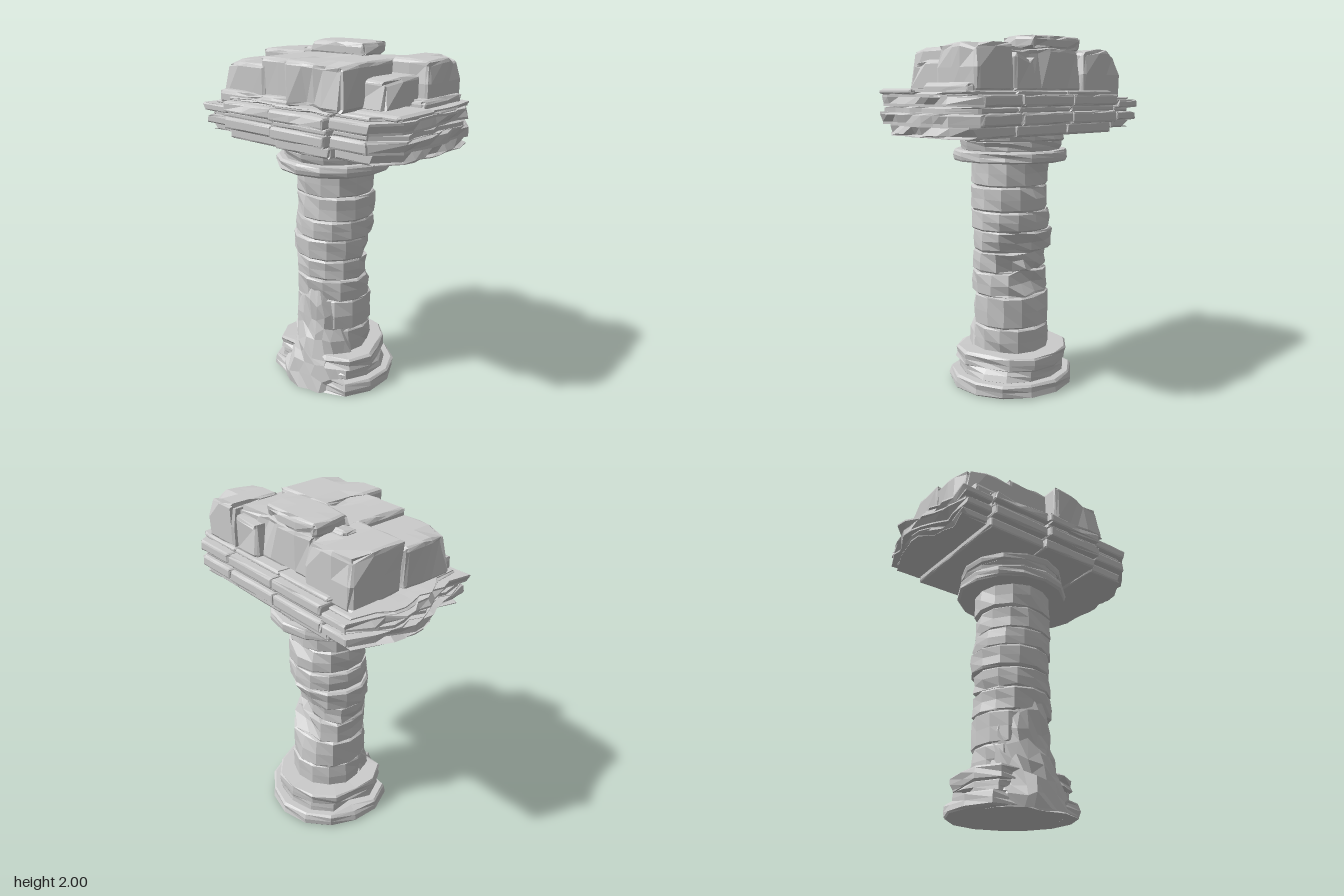
import * as THREE from 'three';

const stone = new THREE.MeshStandardMaterial({ color: 0xcccccc, flatShading: true, side: THREE.DoubleSide });

// Repeatable noise in 0..1 from a position, so shared corners move together
function hash(x, y, z, k = 0) {
  const r = (v) => Math.round(v * 500);
  const s = Math.sin(r(x) * 12.9898 + r(y) * 78.233 + r(z) * 37.719 + k * 53.17) * 43758.5453;
  return s - Math.floor(s);
}

// Move every vertex by a rule: fn(vector) changes the vector in place
function deform(geo, fn) {
  const p = geo.attributes.position, v = new THREE.Vector3();
  for (let i = 0; i < p.count; i++) {
    fn(v.fromBufferAttribute(p, i));
    p.setXYZ(i, v.x, v.y, v.z);
  }
  geo.computeVertexNormals();
  return geo;
}

// Piecewise linear lookup in [[key, value], ...]
function lookup(table, t) {
  for (let i = 1; i < table.length; i++) {
    const [a, va] = table[i - 1], [b, vb] = table[i];
    if (t <= b) return va + (vb - va) * THREE.MathUtils.clamp((t - a) / (b - a), 0, 1);
  }
  return table[table.length - 1][1];
}

function add(parent, name, geo) {
  const mesh = new THREE.Mesh(geo, stone);
  mesh.name = name;
  parent.add(mesh);
}

// Broken spots: x, y, z, reach, depth
const COLUMN_BREAKS = [
  [0.0, 0.7, -0.24, 0.22, 0.07], [0.16, 0.82, -0.16, 0.14, 0.04], [0.04, 0.5, 0.2, 0.2, 0.02],
  [0.06, 1.18, 0.2, 0.1, 0.02], [0.0, 1.22, -0.23, 0.12, 0.03], [0.28, 0.18, -0.16, 0.12, 0.05],
  [-0.3, 0.12, -0.1, 0.12, 0.05], [-0.2, 0.66, 0.05, 0.12, 0.015], [0.0, 0.16, 0.33, 0.27, 0.1],
  [0.02, 0.02, 0.33, 0.24, 0.06], [0.16, 0.66, -0.15, 0.16, 0.03],
];
const TOP_BREAKS = [
  [-0.56, 1.95, -0.36, 0.12, 0.05], [-0.56, 1.9, 0.28, 0.12, 0.04], [0.05, 1.95, 0.14, 0.1, 0.025],
  [0.34, 1.95, 0.4, 0.14, 0.04], [0.18, 1.72, 0.4, 0.1, 0.025], [0.6, 1.95, -0.38, 0.12, 0.04],
  [0.55, 1.87, 0.2, 0.13, 0.04], [0.6, 1.94, -0.1, 0.12, 0.02], [0.17, 1.9, -0.36, 0.14, 0.04],
  [-0.27, 2.0, -0.12, 0.1, 0.02], [0.18, 2.0, -0.1, 0.1, 0.02], [-0.56, 1.72, -0.05, 0.12, 0.02],
  [0.7, 1.7, -0.3, 0.12, 0.03], [-0.24, 1.94, -0.37, 0.1, 0.03], [-0.24, 1.75, 0.4, 0.12, 0.03],
];

// How far a point is pushed in, and how rough it is there
function damage(v, breaks) {
  let sink = 0, rough = 0;
  for (const [x, y, z, reach, depth] of breaks) {
    const f = Math.max(0, 1 - Math.hypot(v.x - x, v.y - y, v.z - z) / reach);
    sink += depth * Math.min(1, f * 1.6);
    rough += (0.005 + 0.4 * depth) * f;
  }
  return { sink, rough };
}

// Hewn block: flat faces, worn and chipped edges, broken corners
function block([x0, x1], [y0, y1], [z0, z1], bevel) {
  const size = [x1 - x0, y1 - y0, z1 - z0], mid = [(x0 + x1) / 2, (y0 + y1) / 2, (z0 + z1) / 2];
  const seg = size.map((s) => Math.max(3, Math.round(s / 0.07)));
  const geo = new THREE.BoxGeometry(...size, ...seg);
  const centre = new THREE.Vector3(...mid), inward = new THREE.Vector3();
  return deform(geo, (v) => {
    const a = v.toArray(), w = a.map((c, i) => c + mid[i]);
    const ends = a.map((c, i) => Math.abs(Math.abs(c) - size[i] / 2) < 1e-4);
    const isEdge = ends.filter(Boolean).length >= 2;
    const wear = bevel * (hash(...w, 1) < 0.14 ? 2.4 : 1);
    const out = a.map((c, i) => {
      const half = size[i] / 2, step = size[i] / seg[i];
      if (ends[i]) return isEdge ? c - Math.sign(c) * Math.min(size[i] * 0.25, wear * (0.2 + 0.6 * hash(...w, i + 2))) : c;
      // rows next to an edge slide out to make a narrow bevel
      const nearEnd = Math.abs(Math.abs(c) - (half - step)) < 1e-4;
      return nearEnd ? Math.sign(c) * (half - Math.min(step, bevel * 1.6)) : c;
    });
    v.set(out[0] + mid[0], out[1] + mid[1], out[2] + mid[2]);
    const { sink, rough } = damage(v, TOP_BREAKS);
    inward.subVectors(centre, v).normalize();
    v.addScaledVector(inward, sink + rough * (hash(...w, 7) - 0.4) * 2);
  });
}

const AXIS = { x: 0.015, z: -0.02 };

function weather(v) {
  const dx = v.x - AXIS.x, dz = v.z - AXIS.z, r = Math.hypot(dx, dz);
  if (r < 0.01) return;
  const { sink, rough } = damage(v, COLUMN_BREAKS);
  const k = (r - sink + (hash(v.x, v.y, v.z, 5) - 0.5) * (0.012 + 2 * rough)) / r;
  const lift = (hash(v.x, v.y, v.z, 6) - 0.5) * (0.004 + rough);
  v.set(AXIS.x + dx * k, Math.max(0, v.y + lift), AXIS.z + dz * k);
}

// One round course of the column, closed at both ends
function drum(y0, y1, r, sides = 13, dx = 0, top = r) {
  const h = y1 - y0, b = Math.min(0.011, h * 0.2), at = (t) => r + (top - r) * t;
  const pts = [[0, y0], [r - b, y0], [r, y0 + b], [at(0.5), y0 + h / 2], [top, y1 - b], [top - b, y1], [0, y1]];
  const geo = new THREE.LatheGeometry(pts.map(([x, y]) => new THREE.Vector2(x, y)), sides);
  geo.rotateY(y0 * 0.7).translate(AXIS.x + dx, 0, AXIS.z);
  return deform(geo, weather);
}

// Slab ends seen from above: z -> x
const LEFT_END = [[-0.45, -0.6], [-0.3, -0.66], [-0.17, -0.72], [0.05, -0.7], [0.15, -0.64], [0.4, -0.63]];
const RIGHT_END = [[-0.45, 0.6], [-0.38, 0.68], [-0.3, 0.715], [0.26, 0.72], [0.31, 0.65], [0.33, 0.61], [0.4, 0.6]];

export function createModel() {
  const model = new THREE.Group();
  model.name = 'ruinedColumn';
  const group = (name) => {
    const g = new THREE.Group();
    g.name = name;
    model.add(g);
    return g;
  };

  // Stepped round base
  const base = group('base');
  add(base, 'plinth', drum(0, 0.08, 0.367, 14));
  add(base, 'plinthNeck', drum(0.07, 0.15, 0.315, 14));
  add(base, 'baseRing', drum(0.14, 0.22, 0.33, 14));

  // Shaft of stacked drums: bottom, top, radius, sideways slip
  const shaft = group('shaft');
  [[0.2, 0.36, 0.222, 0], [0.36, 0.545, 0.222, 0], [0.545, 0.68, 0.225, 0.005],
    [0.68, 0.8, 0.222, 0], [0.8, 0.925, 0.232, -0.01], [0.925, 1.04, 0.228, 0.005],
    [1.04, 1.18, 0.223, 0.015], [1.18, 1.33, 0.223, 0.005],
  ].forEach(([y0, y1, r, dx]) => add(shaft, 'drum', drum(y0, y1, r, 13, dx)));

  // Crumbled stone spilling down the front of the base
  const spillPts = [[0.32, 0], [0.315, 0.07], [0.29, 0.14], [0.265, 0.21], [0.243, 0.28], [0.23, 0.36], [0.225, 0.44], [0.22, 0.53], [0.19, 0.64]];
  const spill = new THREE.LatheGeometry(spillPts.map(([x, y]) => new THREE.Vector2(x, y)), 10, -1.15, 2.3);
  add(base, 'rubbleSpill', deform(spill, (v) => {
    const angle = Math.atan2(v.x, v.z), side = Math.abs(angle) / 1.15;
    const r = Math.hypot(v.x, v.z) * (1 - 0.14 * side ** 3 + (hash(v.x, v.y, v.z, 8) - 0.55) * 0.13);
    const turn = angle + (hash(v.x, v.y, v.z, 10) - 0.5) * 0.16;
    const lift = v.y > 0.01 ? (hash(v.x, v.y, v.z, 9) - 0.5) * 0.06 : 0;
    v.set(AXIS.x + r * Math.sin(turn), v.y + lift, AXIS.z + r * Math.cos(turn));
  }));

  // Capital rings
  const capital = group('capital');
  add(capital, 'capitalRing', drum(1.32, 1.385, 0.328, 14));
  add(capital, 'capitalNeck', drum(1.375, 1.445, 0.288, 14, 0, 0.3));
  add(capital, 'capitalTop', drum(1.435, 1.5, 0.31, 14));

  // Layered slab: four bays wide, each course set in by its own amount
  const slab = group('slab');
  const courses = [[1.475, 1.54, 0.05], [1.535, 1.6, 0.005], [1.595, 1.635, 0.03], [1.63, 1.69, 0], [1.685, 1.71, 0.05]];
  const bays = [[-0.75, -0.424, 0.4], [-0.422, -0.045, 0.425], [-0.043, 0.34, 0.445], [0.342, 0.75, 0.405]];
  courses.forEach(([y0, y1, inset]) => bays.forEach(([x0, x1, front], i) => {
    const geo = block([x0, x1], [y0, y1], [-0.45 + inset, front - inset], 0.008);
    add(slab, 'slabBlock', deform(geo, (v) => {
      // broken ends, in chunks
      const worn = hash(0, Math.round(v.y / 0.035), Math.round(v.z / 0.08), 11) ** 2;
      if (i === 0) {
        v.x = Math.max(v.x, lookup(LEFT_END, v.z) + inset * 0.7 + 0.06 * worn);
        // this bay has sagged and worn thinner
        v.y = 1.5 + (v.y - 1.475) * 0.74;
      }
      if (i === 3) v.x = Math.min(v.x, lookup(RIGHT_END, v.z) - inset * 0.4 - 0.035 * worn);
    }));
  }));

  // Large blocks on top: x range, y range, z range
  const top = group('topBlocks');
  [['coreBlock', [-0.24, 0.37], [1.7, 1.935], [-0.34, 0.3]],
    ['backLeftBlock', [-0.545, -0.21], [1.66, 1.94], [-0.37, -0.015]],
    ['frontLeftBlock', [-0.55, -0.2], [1.66, 1.895], [-0.02, 0.308]],
    ['frontBlock', [0.035, 0.42], [1.71, 1.945], [-0.02, 0.4]],
    ['backRightBlock', [0.35, 0.6], [1.7, 1.945], [-0.39, -0.075]],
    ['rightBlock', [0.32, 0.55], [1.7, 1.87], [-0.08, 0.228]],
    ['frontRightFooting', [0.4, 0.7], [1.69, 1.72], [0.0, 0.3]],
    ['rightFooting', [0.5, 0.63], [1.69, 1.75], [-0.37, 0.0]],
    ['backBlock', [0.16, 0.345], [1.7, 1.9], [-0.385, -0.26]],
    ['frontLedge', [-0.52, 0.04], [1.66, 1.74], [0.2, 0.36]],
    ['capStone', [-0.25, 0.17], [1.92, 2.0], [-0.335, -0.09]],
    ['capFragment', [-0.33, -0.22], [1.91, 1.96], [-0.22, -0.11]],
  ].forEach(([name, x, y, z]) => add(top, name, block(x, y, z, 0.014)));

  return model;
}
